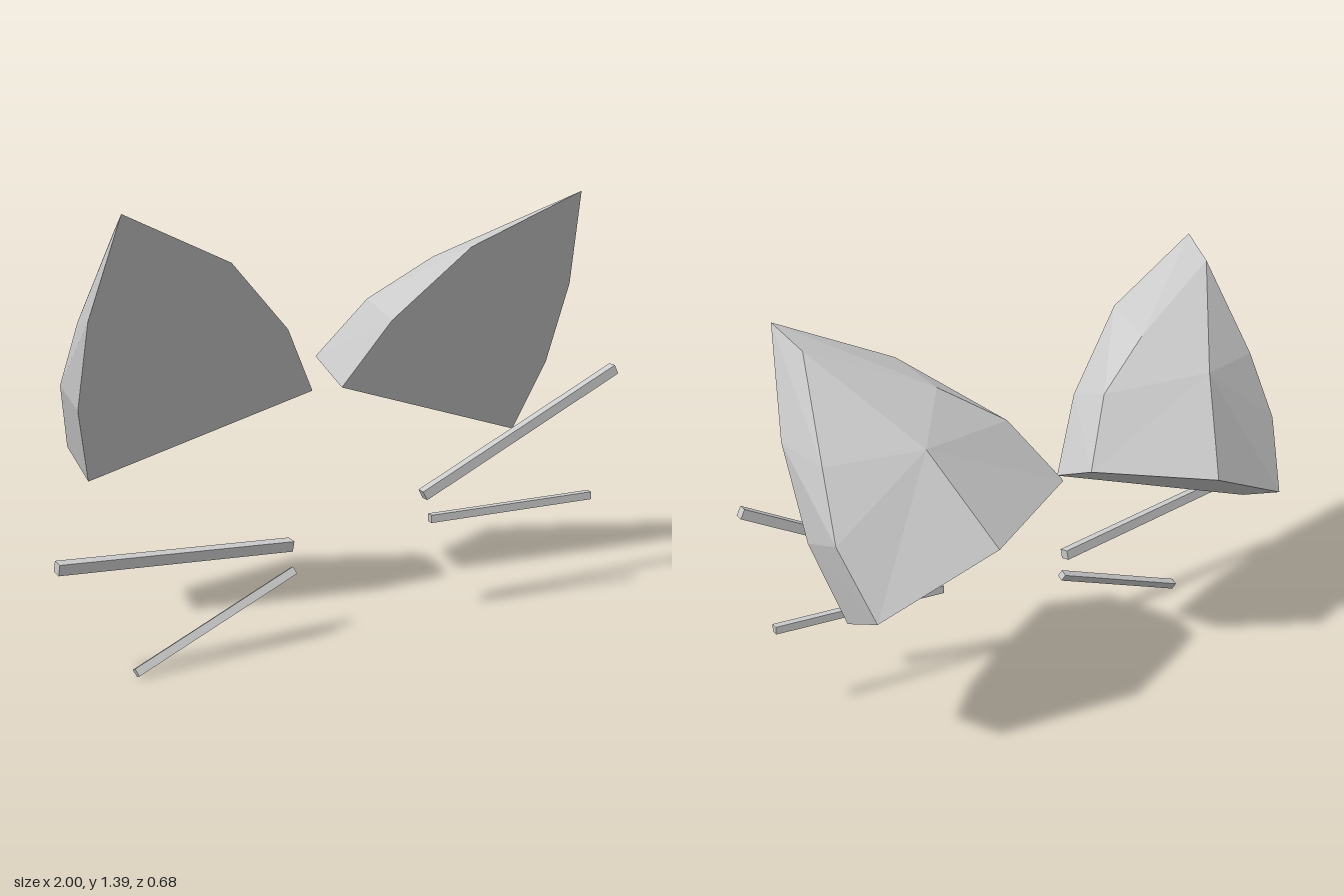
import * as THREE from 'three';

const material = new THREE.MeshStandardMaterial({ color: 0xcccccc, flatShading: true });

// Corners of one ear: front rim (capitals), back rim (lower case), i = peak of the back
const corners = {
  A: [0.86, 1.385, 0.285], B: [0.92, 1.06, 0.155], C: [0.915, 0.77, 0.038], D: [0.85, 0.52, -0.06],
  E: [0.105, 0.755, 0.032], F: [0.24, 0.98, 0.122], G: [0.48, 1.215, 0.216],
  a: [0.83, 1.325, 0.155], b: [0.885, 1.03, -0.025], c: [0.91, 0.82, -0.125], d: [0.85, 0.595, -0.24],
  e: [0.48, 0.77, -0.338], h: [0.105, 0.83, -0.15], f: [0.24, 1.03, -0.04], g: [0.45, 1.165, 0.03],
  i: [0.6, 1.055, -0.14],
};

// Each face is a fan of corners
const faces = ['GABCDEF', 'ABba', 'BCcb', 'CDdc', 'AagG', 'GgfF', 'FfhE', 'eDEh', 'eDd',
  'iab', 'ibc', 'icd', 'ide', 'ieh', 'ihf', 'ifg', 'iga'];

function earGeometry(mirrored) {
  const point = (k) => {
    const [x, y, z] = corners[k];
    return new THREE.Vector3(mirrored ? 0.1 - x : x, y, z);
  };
  const centre = new THREE.Vector3();
  const keys = Object.keys(corners);
  keys.forEach((k) => centre.addScaledVector(point(k), 1 / keys.length));
  const positions = [];
  for (const face of faces) {
    for (let n = 1; n < face.length - 1; n++) {
      const tri = [point(face[0]), point(face[n]), point(face[n + 1])];
      // turn every triangle outward
      const normal = new THREE.Triangle(...tri).getNormal(new THREE.Vector3());
      if (normal.dot(tri[0].clone().sub(centre)) < 0) tri.reverse();
      tri.forEach((p) => positions.push(p.x, p.y, p.z));
    }
  }
  const geometry = new THREE.BufferGeometry();
  geometry.setAttribute('position', new THREE.Float32BufferAttribute(positions, 3));
  geometry.computeVertexNormals();
  return geometry;
}

// Thin square bar between two points
function whisker(name, from, to, thickness) {
  const start = new THREE.Vector3(...from);
  const end = new THREE.Vector3(...to);
  const direction = end.clone().sub(start);
  const mesh = new THREE.Mesh(new THREE.BoxGeometry(direction.length(), thickness, thickness), material);
  mesh.name = name;
  mesh.position.copy(start).add(end).multiplyScalar(0.5);
  mesh.quaternion.setFromUnitVectors(new THREE.Vector3(1, 0, 0), direction.normalize());
  return mesh;
}

export function createModel() {
  const model = new THREE.Group();
  model.name = 'earsAndWhiskers';

  // Ears
  for (const mirrored of [false, true]) {
    const ear = new THREE.Mesh(earGeometry(mirrored), material);
    ear.name = mirrored ? 'rightEar' : 'leftEar';
    model.add(ear);
  }

  // Whiskers
  model.add(
    whisker('leftUpperWhisker', [0.28, 0.423, 0.26], [0.99, 0.788, 0.322], 0.033),
    whisker('leftLowerWhisker', [0.305, 0.342, 0.264], [0.91, 0.358, 0.315], 0.026),
    whisker('rightUpperWhisker', [-0.203, 0.322, 0.257], [-0.999, 0.378, 0.322], 0.034),
    whisker('rightLowerWhisker', [-0.197, 0.238, 0.265], [-0.757, 0.014, 0.315], 0.026),
  );
  return model;
}
